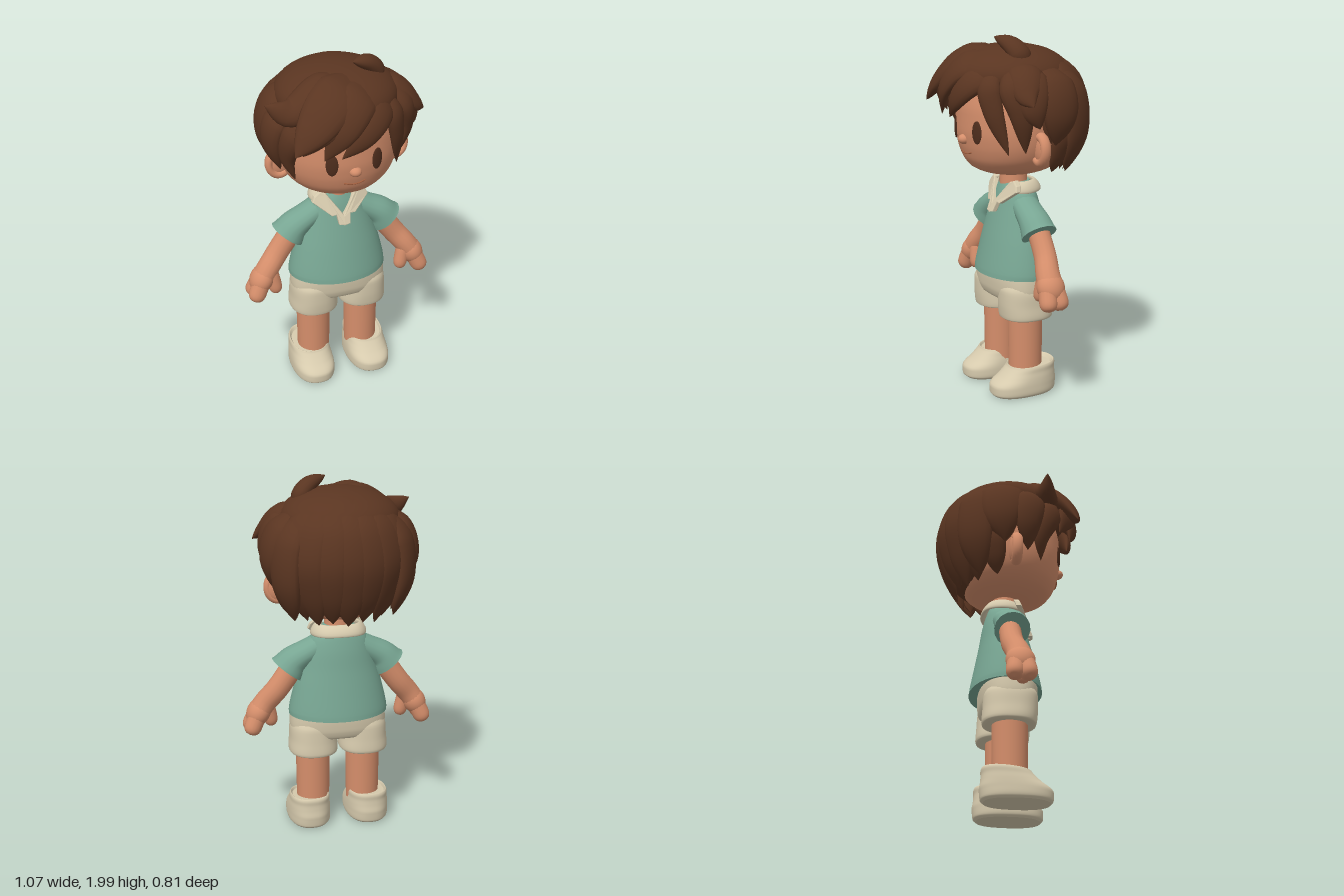
import * as THREE from 'three';

const V = (x, y, z) => new THREE.Vector3(x, y, z);
const material = (name, color) => Object.assign(new THREE.MeshStandardMaterial({ color }), { name });

// Skin a list of rings into a closed solid with separate end caps.
function loft(rings) {
  const n = rings[0].length, pos = [], idx = [];
  const add = (p) => pos.push(p.x, p.y, p.z) / 3 - 1;
  rings.forEach((r) => r.forEach(add));
  for (let i = 0; i < rings.length - 1; i++) {
    for (let j = 0; j < n; j++) {
      const k = (j + 1) % n, a = i * n, b = a + n;
      idx.push(a + j, a + k, b + k, a + j, b + k, b + j);
    }
  }
  [rings[0], rings[rings.length - 1]].forEach((r, end) => {
    const mid = r.reduce((s, p) => s.add(p), V(0, 0, 0)).divideScalar(n);
    const c = add(mid), first = c + 1;
    r.forEach(add);
    for (let j = 0; j < n; j++) {
      const k = (j + 1) % n;
      idx.push(c, first + (end ? j : k), first + (end ? k : j));
    }
  });
  const g = new THREE.BufferGeometry();
  g.setAttribute('position', new THREE.Float32BufferAttribute(pos, 3));
  g.setIndex(idx);
  g.computeVertexNormals();
  return g;
}

// Stack of oval sections; each row is [y, half width, centre z, half depth].
function stack(rows, cx = 0, power = 2, steps = 5) {
  const a = new THREE.CatmullRomCurve3(rows.map((r) => V(r[0], r[1], 0)));
  const b = new THREE.CatmullRomCurve3(rows.map((r) => V(r[2], r[3], 0)));
  const pw = (v) => Math.sign(v) * Math.abs(v) ** (2 / power);
  const rings = [], count = (rows.length - 1) * steps;
  for (let i = 0; i <= count; i++) {
    const p = a.getPoint(i / count), q = b.getPoint(i / count);
    rings.push(Array.from({ length: 40 }, (_, j) => {
      const t = (j / 40) * Math.PI * 2;
      return V(cx + p.y * pw(Math.cos(t)), p.x, q.x - q.y * pw(Math.sin(t)));
    }));
  }
  return loft(rings);
}

// Oval section swept along a curve; size(t) gives [width, thickness].
function sweep(points, size, ref, steps = 24) {
  const curve = new THREE.CatmullRomCurve3(points.map((p) => V(...p)));
  const rings = [];
  for (let i = 0; i <= steps; i++) {
    const t = i / steps, p = curve.getPointAt(t), T = curve.getTangentAt(t);
    const r = ref(p);
    const n = r.addScaledVector(T, -r.dot(T)).normalize();
    const side = n.clone().cross(T), [w, h] = size(t);
    rings.push(Array.from({ length: 16 }, (_, j) => {
      const q = (j / 16) * Math.PI * 2;
      return p.clone().addScaledVector(side, w * Math.cos(q)).addScaledVector(n, h * Math.sin(q));
    }));
  }
  return loft(rings);
}

export function createModel() {
  const root = new THREE.Group();
  const skin = material('skin', 0xd58e6b), hair = material('hair brown', 0x5a3521);
  const green = material('shirt green', 0x78a693), cream = material('cream', 0xd6caad);
  const dark = material('eye brown', 0x4e2d1d), lip = material('mouth', 0xa4603f);
  const add = (name, g, m) => {
    const mesh = new THREE.Mesh(g, m);
    mesh.name = name;
    root.add(mesh);
    return mesh;
  };
  const ball = (name, m, p, s) => {
    const b = add(name, new THREE.SphereGeometry(1, 40, 28), m);
    b.position.set(...p);
    b.scale.set(...s);
    return b;
  };
  const flip = (pts, s) => pts.map(([x, y, z]) => [x * s, y, z]);
  const alongZ = () => V(0, 0, 1);

  // Head, neck and face
  add('head', stack([[1.235, .06, .02, .06], [1.247, .16, .01, .15], [1.28, .235, 0, .23], [1.33, .287, 0, .267],
    [1.4, .32, 0, .29], [1.49, .335, 0, .302], [1.6, .333, 0, .3], [1.7, .31, 0, .28], [1.8, .24, 0, .21], [1.86, .12, 0, .1]]), skin);
  add('neck', new THREE.CylinderGeometry(.075, .08, .18, 32).translate(0, 1.18, -.01), skin);
  ball('nose', skin, [0, 1.44, .292], [.034, .028, .034]);
  add('mouth', new THREE.TubeGeometry(new THREE.CatmullRomCurve3(
    [V(-.058, 1.37, .277), V(-.02, 1.362, .282), V(.02, 1.362, .282), V(.06, 1.373, .277)]), 20, .0038, 8), lip);

  // Torso clothing
  add('shirt', stack([[.67, .28, -.01, .2], [.7, .279, -.01, .196], [.85, .245, -.012, .165], [.95, .215, -.015, .143],
    [1.05, .185, -.02, .122], [1.12, .155, -.02, .105], [1.165, .11, -.02, .09], [1.19, .08, -.02, .08]]), green);
  add('shortsHips', stack([[.525, .2, 0, .09], [.545, .258, 0, .138], [.59, .272, 0, .155], [.66, .27, 0, .16],
    [.72, .26, 0, .155]], 0, 2.5), cream);
  add('collarBand', sweep([[.1, 1.165, .06], [.135, 1.165, -.02], [.1, 1.17, -.1], [0, 1.172, -.125],
    [-.1, 1.17, -.1], [-.135, 1.165, -.02], [-.1, 1.165, .06]], () => [.037, .014], (p) => V(p.x, .08, p.z + .02), 40), cream);

  for (const s of [1, -1]) {
    const side = s > 0 ? 'left' : 'right';
    const eye = ball(side + 'Eye', dark, [s * .125, 1.49, .279], [.033, .062, .009]);
    eye.rotation.y = s * .36;

    // Ear: forward-facing rim with a shallow bowl
    ball(side + 'EarBowl', skin, [s * .33, 1.408, 0], [.07, .085, .033]);
    add(side + 'EarRim', new THREE.TorusGeometry(.058, .021, 14, 36).scale(1, 1.2, 1.4).translate(s * .33, 1.408, .008), skin);

    // Collar lapel, bent back over the shoulder
    const lapel = new THREE.Shape([[0, 1.065], [0, 1.025], [.028, 1.03], [.036, 1.085], [.065, 1.08], [.155, 1.15],
      [.145, 1.175], [.115, 1.2], [.09, 1.19]].map(([x, y]) => new THREE.Vector2(s * x, y)));
    const g = new THREE.ExtrudeGeometry(lapel, { depth: .022, bevelSize: .005, bevelThickness: .005, bevelSegments: 2 });
    const p = g.attributes.position;
    for (let i = 0; i < p.count; i++) {
      p.setZ(i, p.getZ(i) + .115 - (p.getY(i) - 1.03) * .42 - p.getX(i) ** 2 * 1.2);
    }
    g.computeVertexNormals();
    add(side + 'Lapel', g, cream);

    // Sleeve, arm and mitten hand
    add(side + 'Sleeve', sweep(flip([[.08, 1.085, -.02], [.17, 1.035, -.015], [.25, .985, -.01], [.29, .935, -.01]], s),
      (t) => [.066 + .038 * t ** 3, .08 + .018 * t * t], alongZ), green);
    add(side + 'Arm', sweep(flip([[.22, 1.02, -.02], [.28, .92, -.02], [.35, .82, -.015], [.41, .745, .005], [.455, .68, .01]], s),
      (t) => [.066 - .004 * t, .06 + .015 * t ** 4], alongZ), skin);
    ball(side + 'Palm', skin, [s * .45, .685, .01], [.066, .085, .078]).rotation.z = s * .5;
    const digit = (name, a, b, r) => add(side + name,
      sweep(flip([a, b], s), (t) => [0, 1].map(() => r * Math.sqrt(Math.max(1e-4, 1 - Math.abs(2 * t - 1) ** 4))), alongZ), skin);
    for (const z of [-.03, .052]) digit('Finger', [.44, .715, .01 + (z - .01) * .4], [.507, .565, z], .05);
    digit('Thumb', [.405, .76, .02], [.37, .588, .035], .04);

    // Shorts leg, leg and shoe
    add(side + 'ShortsLeg', stack([[.437, .122, -.008, .13], [.443, .135, -.008, .143], [.46, .139, -.008, .147],
      [.52, .134, -.003, .148], [.6, .128, 0, .146], [.65, .105, 0, .125]], s * .144, 2.3), cream);
    add(side + 'Leg', new THREE.CylinderGeometry(.098, .093, .42, 32).translate(s * .145, .33, -.005), skin);
    const shoe = stack([[.005, .108, .028, .175], [.02, .12, .027, .19], [.065, .122, .025, .193], [.11, .118, .002, .165],
      [.14, .113, -.012, .148], [.165, .111, -.024, .137], [.176, .105, -.024, .13], [.16, .096, -.02, .115]], s * .17, 2.4);
    const q = shoe.attributes.position;
    for (let i = 0; i < q.count; i++) q.setY(i, q.getY(i) - q.getZ(i) * .9 * Math.max(0, q.getY(i) - .09));
    shoe.computeVertexNormals();
    add(side + 'Shoe', shoe, cream);
  }

  // Hair mass
  ball('hairBack', hair, [0, 1.59, -.1], [.365, .34, .298]);
  ball('hairCrown', hair, [-.01, 1.78, .01], [.33, .165, .335]);

  // Tapered locks lying on the head; a higher tip value gives a blunter end
  const outward = (p) => p.clone().sub(V(0, 1.58, -.03));
  const lock = (name, pts, w, h, tip = 3, ref = outward) => add(name, sweep(pts, (t) => {
    const k = (.4 + .6 * Math.min(1, 3 * t)) * (1 - t ** tip) + .004;
    return [w * k, h * k];
  }, ref), hair);

  lock('fringeCentre', [[.14, 1.86, .12], [0, 1.83, .29], [-.09, 1.72, .355], [-.185, 1.555, .335]], .115, .05);
  lock('fringeInner', [[.19, 1.84, .13], [.12, 1.76, .3], [.03, 1.665, .35], [-.09, 1.55, .335]], .09, .045);
  lock('fringeMiddle', [[0, 1.86, .2], [-.13, 1.78, .31], [-.22, 1.69, .31], [-.275, 1.56, .26]], .1, .045);
  lock('fringeOuter', [[.1, 1.88, .1], [-.1, 1.85, .25], [-.23, 1.74, .32], [-.345, 1.615, .355]], .135, .06, 4);
  lock('fringeFlick', [[.05, 1.87, .03], [-.15, 1.86, .15], [-.31, 1.78, .18], [-.445, 1.835, .17]], .1, .07, 5);
  lock('rightTemple', [[-.22, 1.78, .23], [-.31, 1.64, .2], [-.325, 1.5, .15], [-.285, 1.37, .15]], .075, .045);
  lock('rightSideburn', [[-.26, 1.8, .08], [-.37, 1.68, .08], [-.385, 1.56, .07], [-.34, 1.4, .07]], .09, .05, 4);
  lock('leftTemple', [[.17, 1.85, .14], [.215, 1.75, .25], [.245, 1.62, .245], [.28, 1.38, .17]], .068, .04);
  lock('leftSideburn', [[.2, 1.85, .1], [.31, 1.74, .16], [.345, 1.6, .13], [.32, 1.39, .09]], .08, .05);
  lock('leftPuff', [[.2, 1.85, .04], [.34, 1.75, .07], [.385, 1.64, .08], [.4, 1.53, .05]], .095, .05, 5);
  lock('leftFlick', [[.18, 1.85, .04], [.31, 1.78, .09], [.385, 1.705, .12], [.45, 1.655, .115]], .1, .06, 4);
  lock('topFlick', [[.185, 1.8, .03], [.195, 1.885, .05], [.145, 1.945, .08], [.04, 1.985, .13]], .05, .062, 4, alongZ);
  for (const s of [1, -1]) {
    lock('sidePuff', flip([[.2, 1.85, -.05], [.345, 1.73, -.07], [.385, 1.6, -.08], [.37, 1.43, -.06]], s), .125, .055, 5);
    lock('rearSide', flip([[.18, 1.86, -.14], [.3, 1.72, -.2], [.325, 1.5, -.22], [.27, 1.265, -.18]], s), .11, .05, 6);
    lock('earLock', flip([[.3, 1.6, -.1], [.34, 1.48, -.12], [.32, 1.38, -.11], [.28, 1.27, -.09]], s), .07, .035, 5);
  }
  // Back locks fanning down to a ragged nape; each point is [spread, height]
  for (let i = -3; i <= 3; i++) {
    const a = i * .36, low = 1.25 + .015 * (i & 1);
    const pts = [[.12, 1.913], [.78, 1.792], [1, 1.613], [.9, 1.44], [.66, low]].map(([r, y]) =>
      [.345 * r * Math.sin(a), y, -.1 - .277 * r * Math.cos(a)]);
    lock('backLock', pts, .1, .034, 7);
  }
  return root;
}
